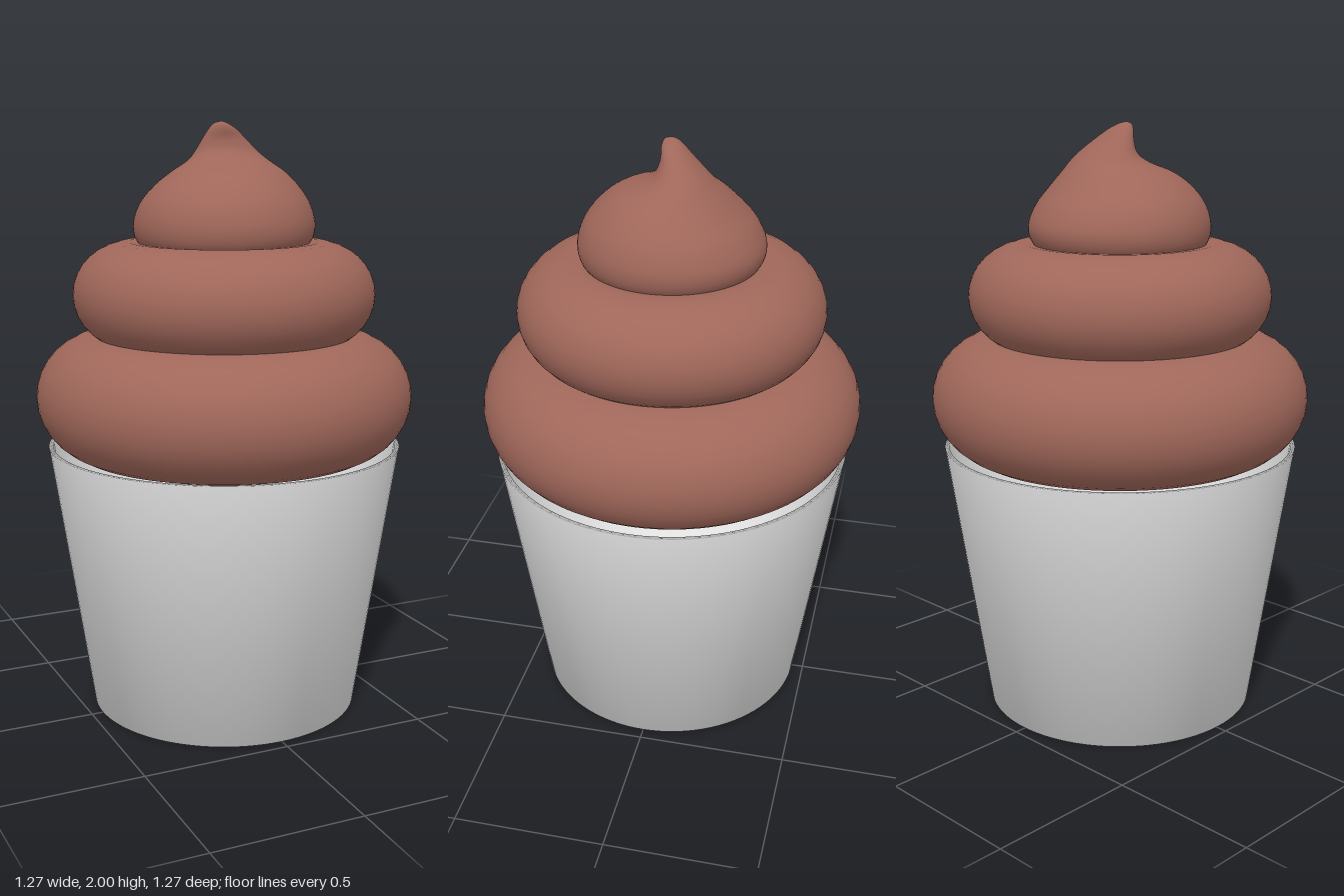
import * as THREE from 'three';

const chocolate = new THREE.MeshStandardMaterial({ color: 0xa0675a });
chocolate.name = 'chocolate';
const paper = new THREE.MeshStandardMaterial({ color: 0xf2f2f2 });
paper.name = 'white cup';

// Rounded ring of cream: outer radius, tube half-width, tube half-height, centre height
function creamRing(name, outer, halfWidth, halfHeight, y) {
  const geo = new THREE.TorusGeometry(outer - halfWidth, halfWidth, 32, 96);
  geo.rotateX(Math.PI / 2);
  geo.scale(1, halfHeight / halfWidth, 1);
  geo.translate(0, y, 0);
  const mesh = new THREE.Mesh(geo, chocolate);
  mesh.name = name;
  return mesh;
}

// Swirl tip: elliptical loops whose extents follow a leaning peak
function creamTip() {
  // y, min x, max x, min z, max z
  const rows = [
    [1.56, -0.22, 0.22, -0.22, 0.22],
    [1.60, -0.285, 0.285, -0.285, 0.285],
    [1.66, -0.303, 0.305, -0.305, 0.303],
    [1.73, -0.285, 0.287, -0.275, 0.284],
    [1.79, -0.238, 0.247, -0.222, 0.24],
    [1.836, -0.177, 0.205, -0.18, 0.183],
    [1.87, -0.115, 0.168, -0.145, 0.1],
    [1.90, -0.087, 0.135, -0.115, 0.05],
    [1.94, -0.068, 0.088, -0.073, 0.033],
    [1.975, -0.052, 0.042, -0.038, 0.034],
    [1.993, -0.038, 0.008, -0.014, 0.028],
    [2.0, -0.016, -0.014, 0.012, 0.014],
  ];
  const spline = (f) => new THREE.CatmullRomCurve3(rows.map(f), false, 'catmullrom', 0.5);
  const centre = spline(([y, a, b, c, d]) => new THREE.Vector3((a + b) / 2, y, (c + d) / 2));
  const radius = spline(([y, a, b, c, d]) => new THREE.Vector3((b - a) / 2, y, (d - c) / 2));
  const loops = 55, sides = 72, pos = [], index = [];
  for (let i = 0; i <= loops; i++) {
    const c = centre.getPoint(i / loops), r = radius.getPoint(i / loops);
    for (let j = 0; j < sides; j++) {
      const t = (j / sides) * Math.PI * 2;
      pos.push(c.x + r.x * Math.sin(t), c.y, c.z + r.z * Math.cos(t));
      if (i === loops) continue;
      const k = (j + 1) % sides, p = i * sides, q = p + sides;
      index.push(p + j, p + k, q + j, p + k, q + k, q + j);
    }
  }
  const geo = new THREE.BufferGeometry();
  geo.setAttribute('position', new THREE.Float32BufferAttribute(pos, 3));
  geo.setIndex(index);
  geo.computeVertexNormals();
  const mesh = new THREE.Mesh(geo, chocolate);
  mesh.name = 'creamTip';
  return mesh;
}

export function createModel() {
  const group = new THREE.Group();
  group.name = 'cupcake';

  // Tapered thin-walled cup
  const profile = [[0, 0], [0.46, 0], [0.6, 0.92], [0.585, 0.92], [0.445, 0.02], [0, 0.02]];
  const cup = new THREE.Mesh(
    new THREE.LatheGeometry(profile.map(([x, y]) => new THREE.Vector2(x, y)), 96), paper);
  cup.name = 'cup';
  group.add(cup);

  // Swirled cream
  group.add(creamRing('lowerCream', 0.637, 0.215, 0.207, 1.09));
  group.add(creamRing('middleCream', 0.508, 0.19, 0.175, 1.432));
  group.add(creamTip());
  return group;
}
